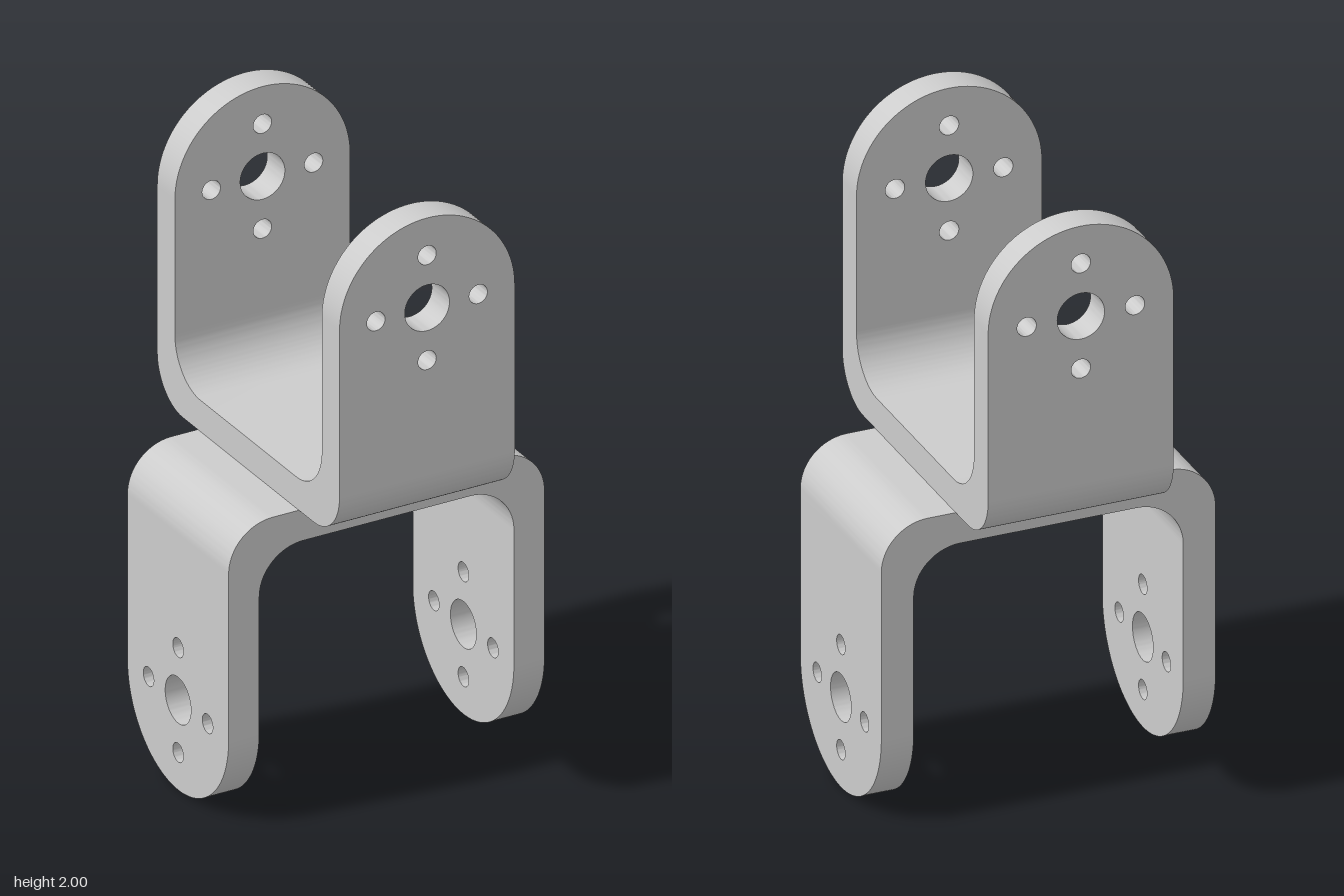
import * as THREE from 'three';
import { toCreasedNormals } from 'three/addons/utils/BufferGeometryUtils.js';

const OUTER = 0.537;      // half span across the legs
const THICK = 0.104;      // plate thickness
const INNER = OUTER - THICK;
const HALF = 0.298;       // half width of the strip
const RADIUS = 0.15;      // bend radius, inside and outside
const BEND_TOP = THICK + RADIUS;
const HOLE_Y = 1 - HALF;  // centre of the rounded leg end

const material = new THREE.MeshStandardMaterial({ color: 0xcccccc });

function extrude(shape, depth, curveSegments) {
  const geometry = new THREE.ExtrudeGeometry(shape, { depth, curveSegments, bevelEnabled: false });
  return toCreasedNormals(geometry, Math.PI / 6);
}

// U-shaped base with rounded bends, extruded across the strip width
function bendGeometry() {
  const s = new THREE.Shape();
  s.moveTo(-OUTER, BEND_TOP);
  s.lineTo(-OUTER, RADIUS);
  s.absarc(-OUTER + RADIUS, RADIUS, RADIUS, Math.PI, Math.PI * 1.5);
  s.lineTo(OUTER - RADIUS, 0);
  s.absarc(OUTER - RADIUS, RADIUS, RADIUS, -Math.PI / 2, 0);
  s.lineTo(OUTER, BEND_TOP);
  s.lineTo(INNER, BEND_TOP);
  s.absarc(INNER - RADIUS, BEND_TOP, RADIUS, 0, -Math.PI / 2, true);
  s.lineTo(-INNER + RADIUS, THICK);
  s.absarc(-INNER + RADIUS, BEND_TOP, RADIUS, Math.PI * 1.5, Math.PI, true);
  s.closePath();
  return extrude(s, HALF * 2, 16).translate(0, 0, -HALF);
}

// Leg plate with a round end, a centre bore and four screw holes
function legGeometry() {
  const s = new THREE.Shape();
  s.moveTo(-HALF, BEND_TOP);
  s.lineTo(HALF, BEND_TOP);
  s.lineTo(HALF, HOLE_Y);
  s.absarc(0, HOLE_Y, HALF, 0, Math.PI);
  s.closePath();
  const hole = (x, y, r) => s.holes.push(new THREE.Path().absarc(x, y, r, 0, Math.PI * 2, true));
  hole(0, HOLE_Y, 0.076);
  for (let i = 0; i < 4; i++) {
    const a = i * Math.PI / 2;
    hole(0.174 * Math.cos(a), HOLE_Y + 0.174 * Math.sin(a), 0.031);
  }
  return extrude(s, THICK, 32).rotateY(Math.PI / 2);
}

function createBracket(name) {
  const bracket = new THREE.Group();
  bracket.name = name;
  const base = new THREE.Mesh(bendGeometry(), material);
  base.name = 'bentBase';
  bracket.add(base);
  const leg = legGeometry();
  for (const [legName, x] of [['legA', INNER], ['legB', -OUTER]]) {
    const mesh = new THREE.Mesh(leg, material);
    mesh.name = legName;
    mesh.position.x = x;
    bracket.add(mesh);
  }
  bracket.position.y = 1;
  return bracket;
}

export function createModel() {
  const model = new THREE.Group();
  model.name = 'crossedBrackets';

  // Upper bracket opens upward, legs at front and back
  const upper = createBracket('upperBracket');
  upper.rotation.y = Math.PI / 2;

  // Lower bracket opens downward, legs at left and right
  const lower = createBracket('lowerBracket');
  lower.rotation.z = Math.PI;

  model.add(upper, lower);
  return model;
}
